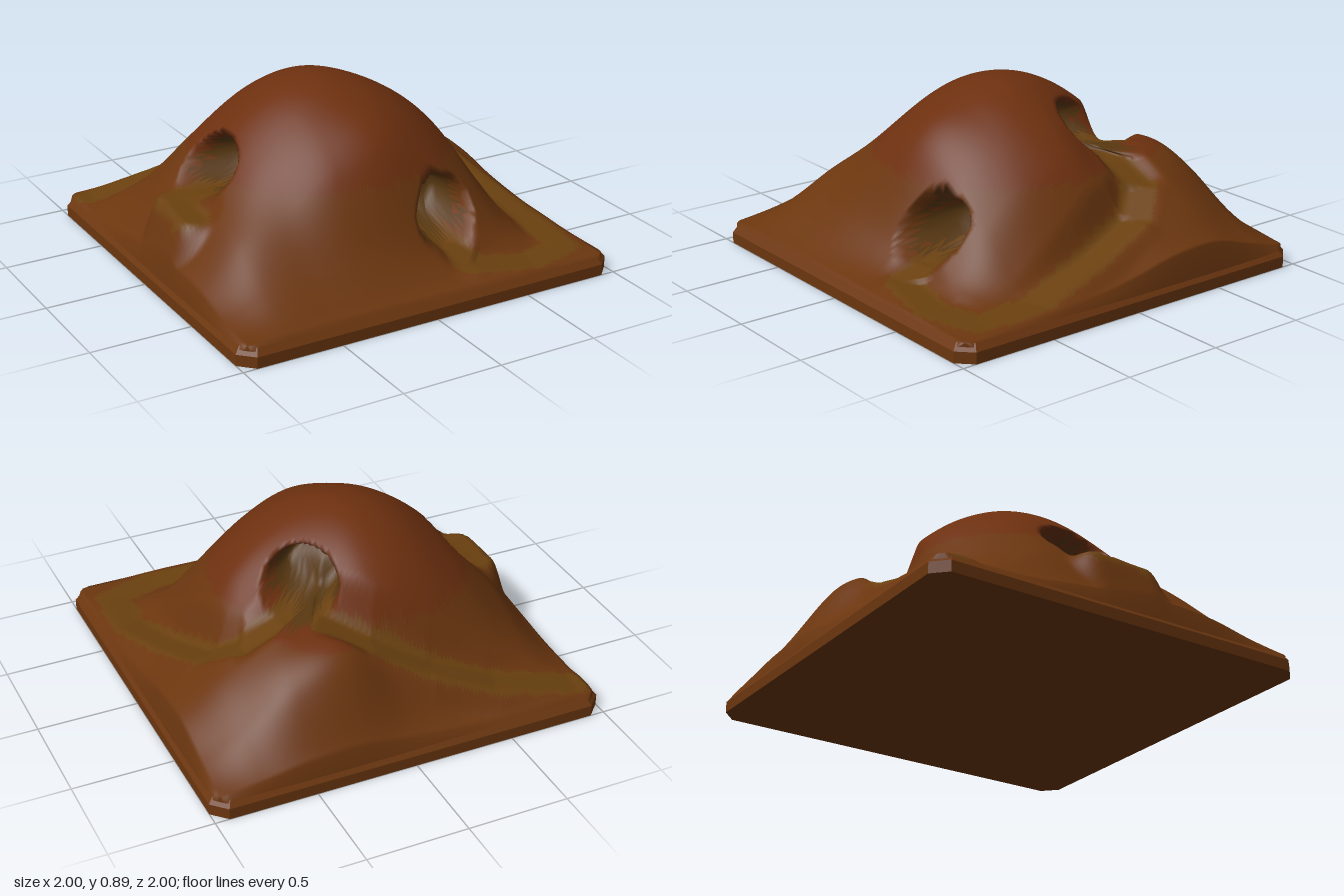
import * as THREE from 'three';

// Hill heights on a coarse lattice: rows run back (-z) to front, columns left (-x) to right
const HEIGHTS = [
  [0.09, 0.09, 0.09, 0.10, 0.11, 0.13, 0.13, 0.11, 0.09],
  [0.09, 0.17, 0.23, 0.28, 0.37, 0.49, 0.43, 0.27, 0.14],
  [0.09, 0.29, 0.49, 0.63, 0.67, 0.58, 0.52, 0.37, 0.20],
  [0.11, 0.40, 0.65, 0.81, 0.84, 0.72, 0.52, 0.35, 0.19],
  [0.14, 0.41, 0.70, 0.86, 0.89, 0.80, 0.61, 0.30, 0.14],
  [0.16, 0.40, 0.63, 0.79, 0.83, 0.75, 0.55, 0.23, 0.11],
  [0.15, 0.35, 0.47, 0.61, 0.67, 0.57, 0.38, 0.15, 0.09],
  [0.11, 0.21, 0.24, 0.26, 0.24, 0.19, 0.14, 0.10, 0.09],
  [0.09, 0.09, 0.09, 0.09, 0.09, 0.09, 0.09, 0.09, 0.09],
];

// Paths and ledges as x, y, z points
const PATHS = [
  [[0.28, 0.17, 0.68], [0.3, 0.13, 0.82], [0.6, 0.1, 0.87], [0.84, 0.1, 0.8], [0.86, 0.12, 0.5],
    [0.79, 0.22, 0.1], [0.72, 0.32, -0.2], [0.6, 0.43, -0.35], [0.4, 0.51, -0.35]],
  [[-0.9, 0.11, -0.86], [-0.5, 0.2, -0.81], [-0.2, 0.32, -0.73], [0.05, 0.45, -0.62], [0.26, 0.55, -0.47]],
  [[-0.83, 0.37, 0.18], [-0.82, 0.39, -0.06], [-0.68, 0.4, -0.02]],
].map(p => p.map(q => new THREE.Vector3(...q)));

// Cave mouths: centre, inward direction, half width, half height, depth
const CAVES = [
  { c: [0.27, 0.33, 0.62], d: [0, 0, -1], w: 0.18, h: 0.16, depth: 0.26 },
  { c: [-0.58, 0.52, -0.01], d: [1, 0, 0], w: 0.2, h: 0.14, depth: 0.24 },
  { c: [0.25, 0.65, -0.27], d: [-0.707, 0, 0.707], w: 0.2, h: 0.14, depth: 0.22 },
].map(k => ({ ...k, c: new THREE.Vector3(...k.c), d: new THREE.Vector3(...k.d) }));

const { clamp, lerp, smoothstep } = THREE.MathUtils;

// Smooth curve through four neighbouring heights
function cubic(a, b, c, d, t) {
  return b + 0.5 * t * (c - a + t * (2 * a - 5 * b + 4 * c - d + t * (3 * (b - c) + d - a)));
}

function hillHeight(x, z) {
  const u = clamp((x + 1) * 4, 0, 8), v = clamp((z + 1) * 4, 0, 8);
  const i = Math.min(7, Math.floor(u)), j = Math.min(7, Math.floor(v));
  const at = (r, c) => HEIGHTS[clamp(r, 0, 8)][clamp(c, 0, 8)];
  const rows = [-1, 0, 1, 2].map(k =>
    cubic(at(j + k, i - 1), at(j + k, i), at(j + k, i + 1), at(j + k, i + 2), u - i));
  return cubic(...rows, v - j);
}

// Closest path point in plan: distance and path height
function nearestPath(x, z) {
  let dist = Infinity, y = 0;
  for (const path of PATHS) {
    for (let i = 0; i + 1 < path.length; i++) {
      const a = path[i], b = path[i + 1], dx = b.x - a.x, dz = b.z - a.z;
      const t = clamp(((x - a.x) * dx + (z - a.z) * dz) / (dx * dx + dz * dz), 0, 1);
      const d = Math.hypot(x - a.x - dx * t, z - a.z - dz * t);
      if (d < dist) { dist = d; y = lerp(a.y, b.y, t); }
    }
  }
  return { dist, y };
}

// Push the hillside inwards at each cave mouth, leaving an overhang; true inside a cave
function carve(p) {
  let inside = false;
  for (const { c, d, w, h, depth } of CAVES) {
    const r = p.clone().sub(c);
    const along = r.dot(d), across = r.x * d.z - r.z * d.x;
    const e = (across / w) ** 2 + (r.y / h) ** 2;
    if (e >= 1 || Math.abs(along) > 0.3) continue;
    p.addScaledVector(d, depth * smoothstep(1 - e, 0, 0.6));
    inside = inside || e < 0.75;
  }
  return inside;
}

function terrain(material) {
  const N = 110, S = 0.985, pos = [], kind = [];
  for (let j = 0; j <= N; j++) {
    for (let i = 0; i <= N; i++) {
      const x = S * (2 * i / N - 1), z = S * (2 * j / N - 1);
      const near = nearestPath(x, z);
      const y = lerp(hillHeight(x, z), near.y, 1 - smoothstep(near.dist, 0.05, 0.15));
      const p = new THREE.Vector3(x, Math.max(y, 0.09), z);
      // the border sits on the slab, with clipped corners
      if (i === 0 || j === 0 || i === N || j === N) p.y = 0.07;
      const over = Math.abs(x) + Math.abs(z) - 1.91;
      if (over > 0) { p.x -= Math.sign(x) * over / 2; p.z -= Math.sign(z) * over / 2; }
      const cave = carve(p);
      pos.push(p.x, p.y, p.z);
      kind.push(cave ? 'caves' : near.dist < 0.085 ? 'paths' : y > 0.52 ? 'summit' : 'slopes');
    }
  }
  // Sort the faces into named ground types that share one set of smooth normals
  const faces = { slopes: [], summit: [], paths: [], caves: [] }, all = [];
  for (let j = 0; j < N; j++) {
    for (let i = 0; i < N; i++) {
      const a = j * (N + 1) + i, b = a + 1, c = a + N + 1, d = c + 1;
      faces[kind[a]].push(a, c, b);
      faces[kind[d]].push(b, c, d);
      all.push(a, c, b, b, c, d);
    }
  }
  const whole = new THREE.BufferGeometry();
  whole.setAttribute('position', new THREE.Float32BufferAttribute(pos, 3));
  whole.setIndex(all);
  whole.computeVertexNormals();
  const group = new THREE.Group();
  group.name = 'hill';
  for (const name of Object.keys(faces)) {
    const geo = whole.clone();
    geo.setIndex(faces[name]);
    const mesh = new THREE.Mesh(geo, material[name]);
    mesh.name = name;
    group.add(mesh);
  }
  return group;
}

// Slab with clipped corners and a bevelled upper edge
function baseSlab(material) {
  const ring = (s, cut, y) => [[s, s - cut], [s - cut, s], [cut - s, s], [-s, s - cut],
    [-s, cut - s], [cut - s, -s], [s - cut, -s], [s, cut - s]].map(([x, z]) => [x, y, z]);
  const rings = [ring(1, 0.07, 0), ring(1, 0.07, 0.055), ring(0.975, 0.06, 0.088)];
  const pos = [];
  for (let k = 0; k < 2; k++) {
    for (let i = 0; i < 8; i++) {
      const n = (i + 1) % 8;
      const a = rings[k][i], b = rings[k][n], c = rings[k + 1][i], d = rings[k + 1][n];
      pos.push(...a, ...c, ...b, ...b, ...c, ...d);
    }
  }
  for (let i = 0; i < 8; i++) pos.push(0, 0, 0, ...rings[0][i], ...rings[0][(i + 1) % 8]);
  const geo = new THREE.BufferGeometry();
  geo.setAttribute('position', new THREE.Float32BufferAttribute(pos, 3));
  geo.computeVertexNormals();
  const mesh = new THREE.Mesh(geo, material);
  mesh.name = 'baseSlab';
  return mesh;
}

export function createModel() {
  const paint = color => new THREE.MeshStandardMaterial({ color, side: THREE.DoubleSide });
  const slopes = paint(0x6b360f);
  const model = new THREE.Group();
  model.name = 'caveHill';
  model.add(baseSlab(slopes));
  model.add(terrain({ slopes, summit: paint(0x6d300f), paths: paint(0x6a400f), caves: paint(0x573710) }));
  return model;
}
